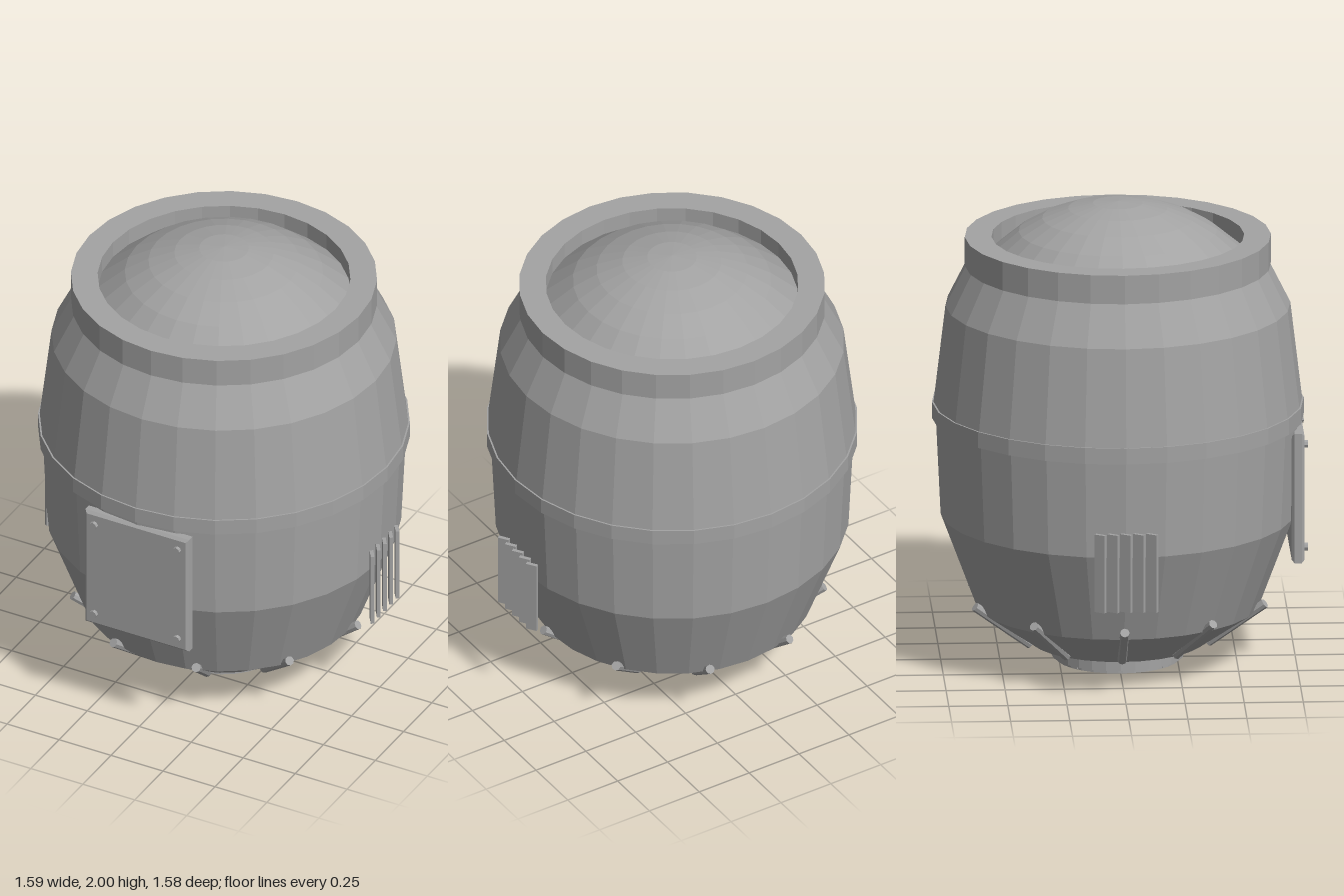
import * as THREE from 'three';
import { toCreasedNormals } from 'three/addons/utils/BufferGeometryUtils.js';

const SIDES = 28;

export function createModel() {
  const model = new THREE.Group();
  const metal = new THREE.MeshStandardMaterial({ color: 0xa3a3a3 });
  metal.name = 'grey metal';

  const add = (name, geometry, parent = model) => {
    const mesh = new THREE.Mesh(toCreasedNormals(geometry, 0.02), metal);
    mesh.name = name;
    parent.add(mesh);
    return mesh;
  };
  const group = (name) => {
    const g = new THREE.Group();
    g.name = name;
    model.add(g);
    return g;
  };
  // Faceted solid of revolution; profile runs bottom to top along the outside
  const lathe = (name, profile, parent) =>
    add(name, new THREE.LatheGeometry(profile.map(([r, y]) => new THREE.Vector2(r, y)), SIDES), parent);

  // Barrel body
  lathe('baseCone', [[0, 0.08], [0.37, 0.08], [0.6, 0.24]]);
  lathe('lowerBody', [[0.6, 0.24], [0.75, 0.64], [0.77, 1.06]]);
  lathe('waistBand', [[0.77, 1.06], [0.787, 1.06], [0.787, 1.13], [0.78, 1.13]]);
  lathe('upperBody', [[0.78, 1.13], [0.73, 1.55], [0.64, 1.73]]);
  lathe('collar', [[0.64, 1.725], [0.648, 1.725], [0.648, 1.85], [0.535, 1.85], [0.535, 1.77]]);

  // Shallow dome set inside the collar
  const dome = [0.535, 0.42, 0.32, 0.21, 0.105, 0].map((r) => [r, 1.25 + Math.sqrt(0.75 ** 2 - r * r)]);
  lathe('dome', dome);

  // Nozzle underneath, with a round grille
  const nozzle = group('nozzle');
  lathe('nozzleRim', [[0, 0.05], [0.25, 0.05], [0.25, 0.015], [0.28, 0.015], [0.28, 0.08]], nozzle);
  for (const r of [0.06, 0.15, 0.24]) {
    lathe('grilleRing', [[r, 0.018], [r, 0], [r + 0.022, 0], [r + 0.022, 0.018], [r, 0.018]], nozzle);
  }
  for (let i = 0; i < 4; i++) {
    const spoke = add('grilleSpoke', new THREE.BoxGeometry(0.53, 0.014, 0.018), nozzle);
    spoke.position.y = 0.01;
    spoke.rotation.y = (i * Math.PI) / 4;
  }

  // Ten slanted rods around the base cone
  const rods = group('baseRods');
  const low = new THREE.Vector3(0.395, 0.095, 0);
  const high = new THREE.Vector3(0.645, 0.283, 0);
  const slope = new THREE.Vector3().subVectors(high, low);
  for (let i = 0; i < 10; i++) {
    const arm = new THREE.Group();
    arm.name = 'rodArm';
    arm.rotation.y = (i * Math.PI) / 5;
    const rod = add('rod', new THREE.CylinderGeometry(0.02, 0.02, slope.length(), 8), arm);
    rod.position.addVectors(low, high).multiplyScalar(0.5);
    rod.quaternion.setFromUnitVectors(new THREE.Vector3(0, 1, 0), slope.clone().normalize());
    rods.add(arm);
  }

  // Bolted access panel on the front
  const panel = group('accessPanel');
  const outline = new THREE.Shape();
  outline.moveTo(-0.238, 0.482);
  outline.lineTo(0.238, 0.482);
  outline.lineTo(0.238, 1.025);
  outline.lineTo(-0.238, 1.025);
  const plate = add('panelPlate', new THREE.ExtrudeGeometry(outline, {
    depth: 0.03, bevelThickness: 0.012, bevelSize: 0.012, bevelSegments: 1,
  }), panel);
  plate.position.z = 0.737;
  for (const x of [-0.2, 0.2]) {
    for (const y of [0.53, 0.98]) {
      const bolt = add('panelBolt', new THREE.CylinderGeometry(0.017, 0.017, 0.025, 8), panel);
      bolt.rotation.x = Math.PI / 2;
      bolt.position.set(x, y, 0.783);
    }
  }

  // Louvred vents on both sides
  for (const side of [-1, 1]) {
    const vent = group(side > 0 ? 'leftVent' : 'rightVent');
    for (let i = -2; i <= 2; i++) {
      const slat = add('ventSlat', new THREE.BoxGeometry(0.016, 0.34, 0.05), vent);
      slat.position.set(side * 0.772, 0.58, i * 0.055);
      slat.rotation.y = side * 0.6;
    }
  }
  return model;
}
